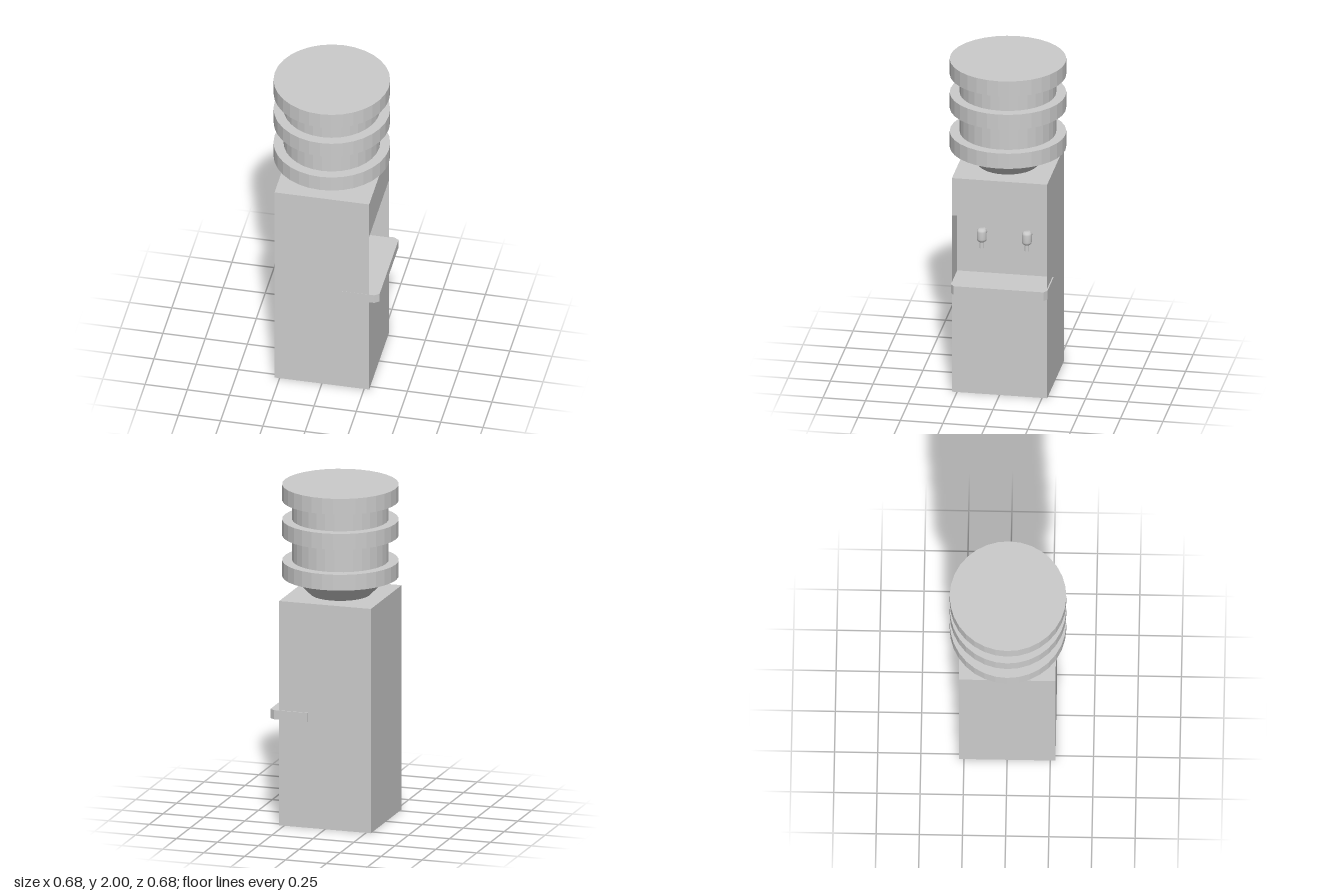
import * as THREE from 'three';

const grey = new THREE.MeshStandardMaterial({ color: 0xcccccc, flatShading: true });
const thin = new THREE.MeshStandardMaterial({ color: 0xcccccc, flatShading: true, side: THREE.DoubleSide });
const smooth = new THREE.MeshStandardMaterial({ color: 0xcccccc });

const points = (list) => list.map(([x, y]) => new THREE.Vector2(x, y));

function add(parent, name, geometry, material = grey) {
  const mesh = new THREE.Mesh(geometry, material);
  mesh.name = name;
  parent.add(mesh);
  return mesh;
}

function extrude(outline, depth) {
  return new THREE.ExtrudeGeometry(new THREE.Shape(points(outline)), { depth, bevelEnabled: false });
}

export function createModel() {
  const model = new THREE.Group();
  model.name = 'waterCooler';

  // Cabinet: side profile with a dispensing niche open toward +x
  const half = 0.28, nicheX = 0.105, floor = 0.65, ceiling = 1.11, top = 1.345;
  const cabinet = add(model, 'cabinet', extrude([
    [-half, 0], [half, 0], [half, floor], [nicheX, floor],
    [nicheX, ceiling], [half, ceiling], [half, top], [-half, top],
  ], 2 * half));
  cabinet.position.z = -half;

  // Thin cheeks closing the niche on both sides
  for (const side of [1, -1]) {
    const cheek = add(model, 'nicheCheek', new THREE.PlaneGeometry(half - nicheX, ceiling - floor), thin);
    cheek.position.set((half + nicheX) / 2, (floor + ceiling) / 2, side * half);
  }

  // Drip shelf with clipped outer corners
  const shelf = add(model, 'dripShelf', extrude([
    [nicheX, -0.281], [0.31, -0.281], [0.338, -0.26],
    [0.338, 0.268], [0.31, 0.287], [nicheX, 0.287],
  ], 0.055));
  shelf.rotation.x = -Math.PI / 2;
  shelf.position.y = 0.635;

  // Two taps: rounded body, spout and a stem into the niche wall
  for (const z of [0.125, -0.14]) {
    const tap = new THREE.Group();
    tap.name = 'tap';
    tap.position.set(0.165, 0.95, z);
    model.add(tap);
    add(tap, 'tapBody', new THREE.LatheGeometry(points([
      [0, -0.04], [0.017, -0.04], [0.026, -0.033], [0.029, -0.022],
      [0.029, 0.022], [0.026, 0.033], [0.017, 0.04], [0, 0.04],
    ]), 16), smooth);
    add(tap, 'tapSpout', new THREE.CylinderGeometry(0.014, 0.014, 0.05, 16), smooth).position.y = -0.055;
    const stem = add(tap, 'tapStem', new THREE.CylinderGeometry(0.022, 0.022, 0.07, 16), smooth);
    stem.rotation.z = Math.PI / 2;
    stem.position.x = -0.035;
  }

  // Bottle: tapered neck, barrel and three raised bands
  const r = 0.28, R = 0.338;
  add(model, 'bottle', new THREE.LatheGeometry(points([
    [0, top], [0.175, top], [r, 1.45], [R, 1.45], [R, 1.545], [r, 1.545],
    [r, 1.695], [R, 1.695], [R, 1.79], [r, 1.79],
    [r, 1.905], [R, 1.905], [R, 2], [0, 2],
  ]), 32));

  return model;
}
